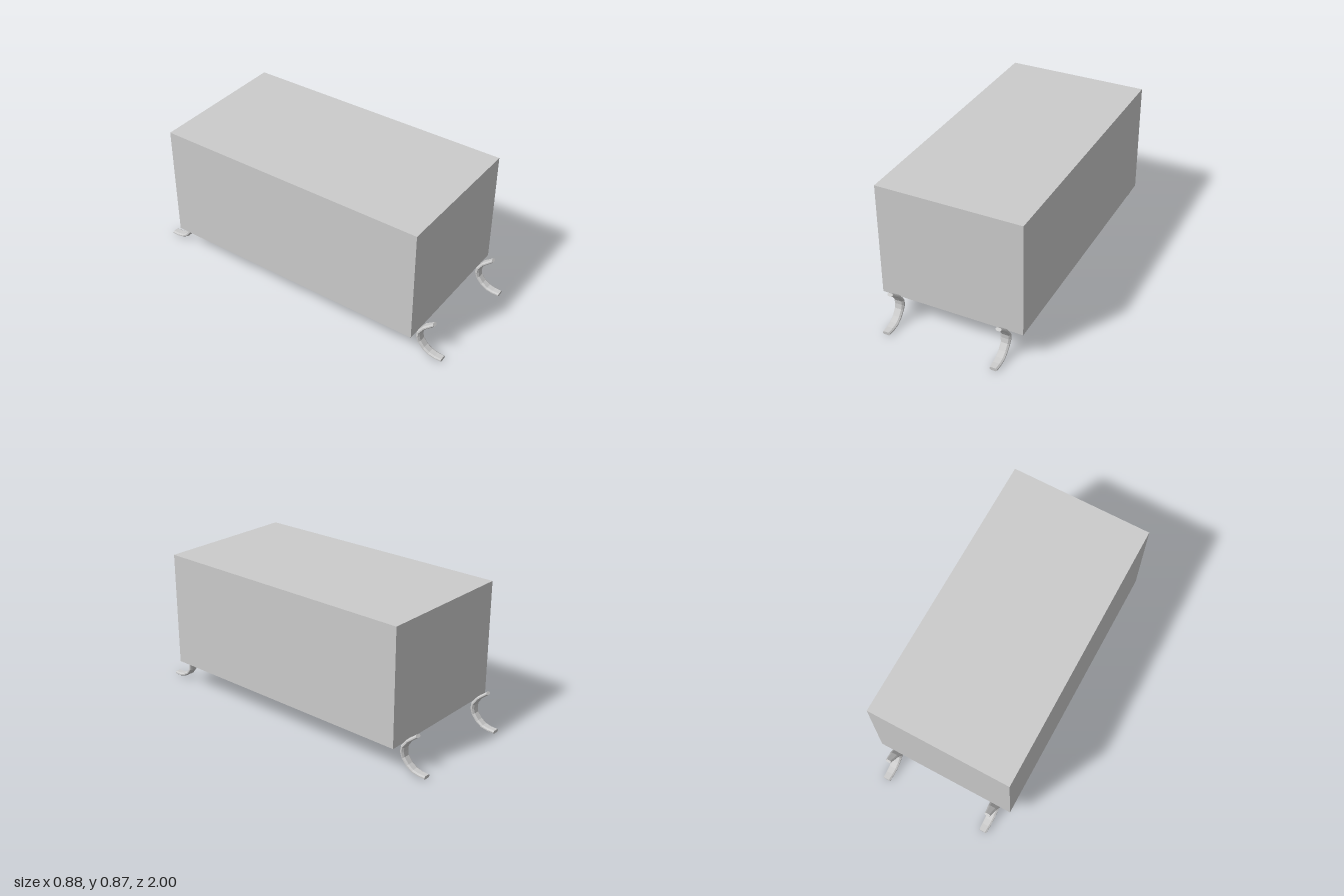
import * as THREE from 'three';

const material = new THREE.MeshStandardMaterial({ color: 0xcccccc, flatShading: true });

// Centre line of one curved foot from top to toe: z, y, half width, half thickness
const STATIONS = [
  [0.931, 0.238, 0.017, 0.009],
  [0.876, 0.193, 0.026, 0.010],
  [0.846, 0.150, 0.031, 0.012],
  [0.842, 0.118, 0.031, 0.013],
  [0.850, 0.084, 0.027, 0.012],
  [0.880, 0.047, 0.026, 0.011],
  [0.916, 0.024, 0.026, 0.010],
  [0.955, 0.015, 0.025, 0.010],
  [0.998, 0.013, 0.023, 0.010],
];

// Flattened octagonal cross-section
const SECTION = [
  [1, -0.35], [1, 0.35], [0.65, 1], [-0.65, 1],
  [-1, 0.35], [-1, -0.35], [-0.65, -1], [0.65, -1],
];

function footGeometry() {
  const n = SECTION.length;
  const last = STATIONS.length - 1;
  const positions = [];
  const index = [];
  STATIONS.forEach(([z, y, w, t], i) => {
    const a = STATIONS[Math.max(i - 1, 0)];
    const b = STATIONS[Math.min(i + 1, last)];
    const length = Math.hypot(b[0] - a[0], b[1] - a[1]);
    const tz = (b[0] - a[0]) / length;
    const ty = (b[1] - a[1]) / length;
    for (const [u, v] of SECTION) positions.push(u * w, y + v * t * tz, z - v * t * ty);
  });
  for (let i = 0; i < last; i++) {
    for (let j = 0; j < n; j++) {
      const a = i * n + j;
      const b = i * n + (j + 1) % n;
      index.push(a, b, b + n, a, b + n, a + n);
    }
  }
  // End caps
  for (let j = 1; j < n - 1; j++) {
    index.push(0, j + 1, j, last * n, last * n + j, last * n + j + 1);
  }
  const geometry = new THREE.BufferGeometry();
  geometry.setAttribute('position', new THREE.Float32BufferAttribute(positions, 3));
  geometry.setIndex(index);
  const flat = geometry.toNonIndexed();
  flat.computeVertexNormals();
  return flat;
}

export function createModel() {
  const model = new THREE.Group();
  model.name = 'footedBox';

  // Plain rectangular body
  const body = new THREE.Mesh(new THREE.BoxGeometry(0.88, 0.704, 1.69), material);
  body.name = 'body';
  body.position.y = 0.522;
  model.add(body);

  // Four curved feet, the rear pair turned to face backwards
  const geometry = footGeometry();
  for (const end of ['front', 'rear']) {
    for (const side of [1, -1]) {
      const foot = new THREE.Mesh(geometry, material);
      foot.name = end + (side > 0 ? 'Left' : 'Right') + 'Foot';
      foot.position.x = side * 0.336;
      if (end === 'rear') foot.rotation.y = Math.PI;
      model.add(foot);
    }
  }
  return model;
}
